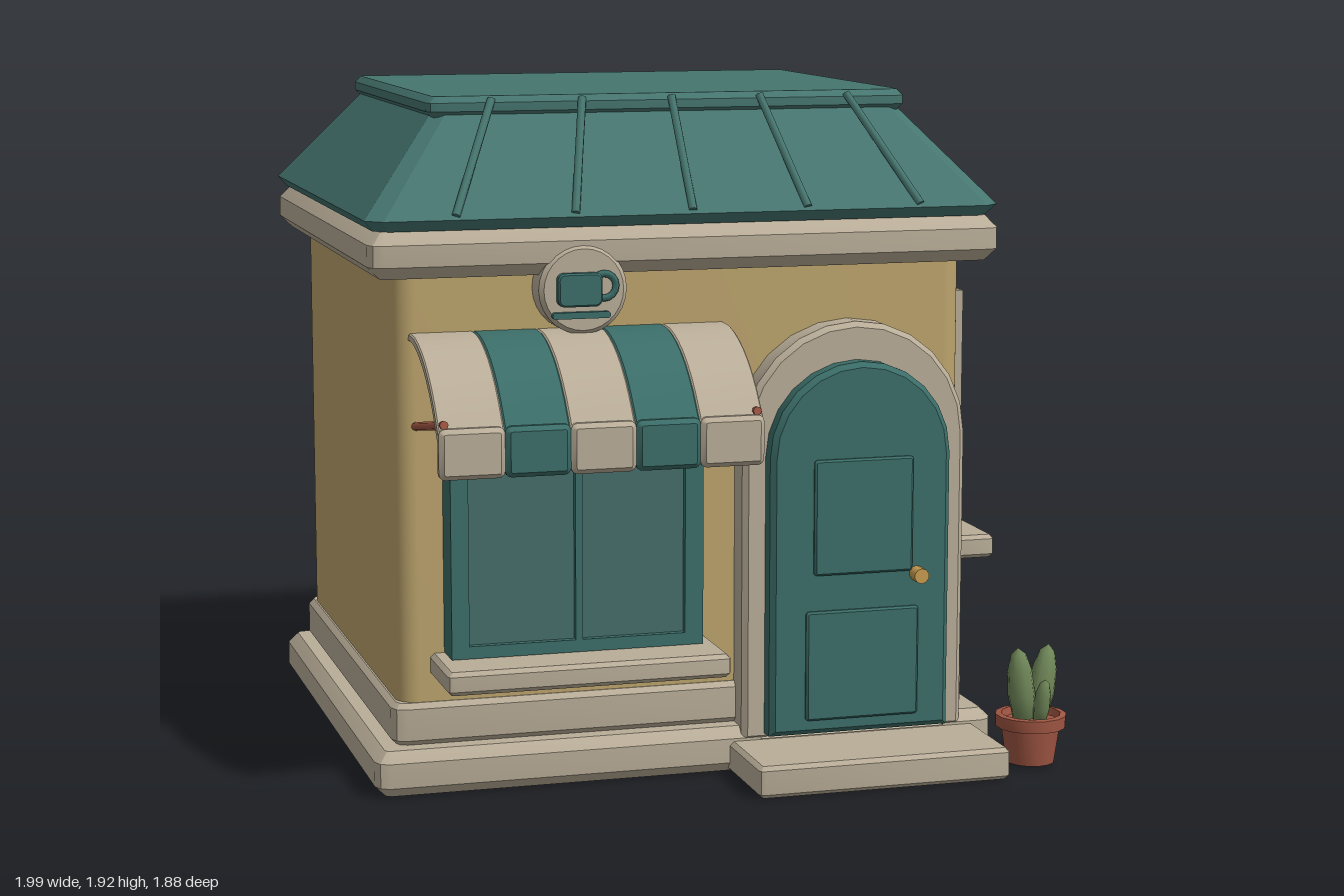
import * as THREE from 'three';
import { toCreasedNormals } from 'three/addons/utils/BufferGeometryUtils.js';

const mat = (name, color) => {
  const m = new THREE.MeshStandardMaterial({ color });
  m.name = name;
  return m;
};

export function createModel() {
  const root = new THREE.Group();
  root.name = 'cafe';
  const wall = mat('ochre plaster', 0xbba36c);
  const trim = mat('pale stone', 0xb9ad98);
  const teal = mat('roof teal', 0x46756f);
  const deep = mat('paint teal', 0x3b6d68);
  const glass = mat('window glass', 0x456d69);
  const clay = mat('terracotta', 0xa05643);
  const green = mat('cactus green', 0x6f8658);
  const gold = mat('brass', 0xc89c50);

  const add = (name, geo, material, parent = root) => {
    const m = new THREE.Mesh(geo, material);
    m.name = name;
    parent.add(m);
    return m;
  };
  // Extrusion filling 0..depth, with its bevel kept inside the outline
  const extrude = (shape, depth, b = 0, seg = 6) => {
    const g = new THREE.ExtrudeGeometry(shape, {
      depth: depth - 2 * b, curveSegments: seg, bevelEnabled: b > 0,
      bevelThickness: b, bevelSize: b, bevelOffset: -b, bevelSegments: 1,
    });
    g.translate(0, 0, b);
    return toCreasedNormals(g, 0.5);
  };
  const rect = (x0, x1, y0, y1, r = 0, Kind = THREE.Shape) => {
    const s = new Kind();
    if (!r) {
      s.moveTo(x0, y0).lineTo(x1, y0).lineTo(x1, y1).lineTo(x0, y1).closePath();
      return s;
    }
    const h = Math.PI / 2;
    s.absarc(x1 - r, y0 + r, r, -h, 0);
    s.absarc(x1 - r, y1 - r, r, 0, h);
    s.absarc(x0 + r, y1 - r, r, h, 2 * h);
    s.absarc(x0 + r, y0 + r, r, 2 * h, 3 * h);
    return s;
  };
  // Horizontal slab, extruded upwards
  const slab = (name, m, [x0, x1], [y0, y1], [z0, z1], b, r = 0, seg = 1, parent = root) => {
    const g = extrude(rect(x0, x1, -z1, -z0, r), y1 - y0, b, seg);
    g.rotateX(-Math.PI / 2).translate(0, y0, 0);
    return add(name, g, m, parent);
  };
  // Upright panel, extruded forwards
  const panel = (name, m, shape, z0, z1, b = 0, parent = root, seg = 6) =>
    add(name, extrude(shape, z1 - z0, b, seg).translate(0, 0, z0), m, parent);
  const stick = (name, m, a, b, r) => {
    const p = new THREE.Vector3(...a), q = new THREE.Vector3(...b);
    const s = add(name, new THREE.CylinderGeometry(r, r, p.distanceTo(q), 8), m);
    s.position.copy(p).lerp(q, 0.5);
    s.quaternion.setFromUnitVectors(new THREE.Vector3(0, 1, 0), q.sub(p).normalize());
    return s;
  };

  // Plinth, walls and cornice
  slab('base', trim, [-0.995, 0.83], [0, 0.13], [-0.93, 0.63], 0.03, 0.04);
  slab('plinth', trim, [-0.935, 0.765], [0.13, 0.25], [-0.88, 0.565], 0.015, 0.04);
  slab('walls', wall, [-0.915, 0.745], [0.24, 1.46], [-0.86, 0.547], 0, 0.06, 5);
  slab('cornice', trim, [-0.995, 0.83], [1.445, 1.575], [-0.935, 0.63], 0.035, 0.04);

  // Hipped roof lofted through chamfered rectangles
  const ring = (y, hx, hz, c) =>
    [[hx, hz - c], [hx - c, hz], [-hx + c, hz], [-hx, hz - c],
      [-hx, -hz + c], [-hx + c, -hz], [hx - c, -hz], [hx, -hz + c]]
      .map(([x, z]) => [x - 0.085, y, z - 0.155]);
  const rings = [ring(1.575, 0.89, 0.76, 0.04), ring(1.605, 0.915, 0.785, 0.045), ring(1.875, 0.685, 0.555, 0.035)];
  const pos = [];
  for (let k = 0; k < 2; k++) {
    for (let i = 0; i < 8; i++) {
      const j = (i + 1) % 8, [lo, up] = [rings[k], rings[k + 1]];
      pos.push(...lo[i], ...up[i], ...lo[j], ...lo[j], ...up[i], ...up[j]);
    }
  }
  for (let i = 1; i < 7; i++) pos.push(...rings[0][0], ...rings[0][i], ...rings[0][i + 1]);
  const roofGeo = new THREE.BufferGeometry();
  roofGeo.setAttribute('position', new THREE.Float32BufferAttribute(pos, 3));
  roofGeo.computeVertexNormals();
  add('roof', roofGeo, teal);
  slab('roofCap', teal, [-0.785, 0.617], [1.865, 1.925], [-0.727, 0.41], 0.018, 0.03);
  for (let i = -2; i <= 2; i++) {
    stick('roofSeam', teal, [-0.085 + i * 0.335, 1.615, 0.622], [-0.085 + i * 0.26, 1.915, 0.405], 0.012);
  }

  // Arched door with stone surround, step and knob
  const arch = (hw, y0, spring, Kind = THREE.Shape) => {
    const s = new Kind(), cx = 0.393;
    s.moveTo(cx - hw, y0).lineTo(cx + hw, y0).lineTo(cx + hw, spring);
    s.absarc(cx, spring, hw, 0, Math.PI);
    s.closePath();
    return s;
  };
  const surround = arch(0.332, 0.09, 0.955);
  surround.holes.push(arch(0.262, 0.11, 0.912, THREE.Path));
  panel('doorSurround', trim, surround, 0.53, 0.635, 0.015);
  panel('door', deep, arch(0.268, 0.112, 0.912), 0.55, 0.693, 0.015);
  panel('doorUpperPanel', deep, rect(0.25, 0.545, 0.575, 0.907, 0.01), 0.68, 0.705, 0.006);
  panel('doorLowerPanel', deep, rect(0.228, 0.565, 0.155, 0.472, 0.01), 0.68, 0.705, 0.006);
  const knob = add('doorKnob', new THREE.CylinderGeometry(0.022, 0.022, 0.05, 10), gold);
  knob.rotation.x = Math.PI / 2;
  knob.position.set(0.56, 0.565, 0.714);
  slab('doorStep', trim, [0.025, 0.77], [0, 0.092], [0.5, 0.913], 0.012, 0.015);

  // Shop window
  const shop = rect(-0.785, -0.062, 0.39, 1.22);
  for (const [a, b] of [[-0.735, -0.432], [-0.412, -0.115]]) {
    shop.holes.push(rect(a, b, 0.425, 1.18, 0, THREE.Path));
  }
  panel('shopWindowFrame', deep, shop, 0.53, 0.65);
  panel('shopWindowGlass', glass, rect(-0.76, -0.09, 0.41, 1.2), 0.61, 0.63);
  slab('shopWindowSill', trim, [-0.825, -0.02], [0.322, 0.388], [0.53, 0.79], 0.012, 0.015);

  // Striped awning: curved canopy strips with a hanging valance
  const outer = new THREE.SplineCurve([[0.55, 1.29], [0.64, 1.283], [0.75, 1.24], [0.85, 1.165], [0.935, 1.065]]
    .map(([z, y]) => new THREE.Vector2(z, y))).getPoints(10);
  const inner = outer.map((p) => new THREE.Vector2(p.x - 0.018, p.y - 0.022)).reverse();
  const canopy = new THREE.Shape([...outer, ...inner]);
  const w = 0.18;
  for (let i = 0; i < 5; i++) {
    const x0 = -0.875 + i * w, m = i % 2 ? deep : trim;
    const g = extrude(canopy, w, 0.004).rotateY(-Math.PI / 2).translate(x0 + w, 0, 0);
    add('awningStripe', g, m);
    panel('awningValance', m, rect(x0, x0 + w, 0.948, 1.085, 0.018), 0.905, 0.945, 0.013, root, 2);
  }
  for (const x of [-0.858, 0.008]) {
    stick('awningArm', clay, [x, 1.095, 0.925], [x, 1.03, 0.54], 0.012);
  }

  // Round hanging sign with a cup
  const round = (r) => new THREE.Shape().absarc(0, 0, r, 0, Math.PI * 2);
  const sign = new THREE.Group();
  sign.name = 'sign';
  sign.position.set(-0.402, 1.405, 0);
  root.add(sign);
  panel('signDisc', trim, round(0.125), 0.53, 0.638, 0.012, sign, 14);
  panel('cup', deep, rect(-0.078, 0.048, -0.045, 0.048, 0.02), 0.63, 0.662, 0.005, sign, 3);
  panel('saucer', deep, rect(-0.092, 0.072, -0.078, -0.06, 0.008), 0.63, 0.655, 0, sign, 2);
  const handle = add('cupHandle', new THREE.TorusGeometry(0.034, 0.01, 6, 16), deep, sign);
  handle.position.set(0.055, 0.01, 0.645);

  // Side window, built facing +z then turned to the left wall
  const side = new THREE.Group();
  side.name = 'sideWindow';
  side.rotation.y = Math.PI / 2;
  side.position.z = -0.153;
  root.add(side);
  const frame = rect(-0.363, 0.363, 0.56, 1.31);
  for (const [a, b] of [[-0.31, -0.016], [0.016, 0.31]]) {
    frame.holes.push(rect(a, b, 0.6, 0.96, 0, THREE.Path), rect(a, b, 0.99, 1.255, 0, THREE.Path));
  }
  panel('sideWindowFrame', trim, frame, 0.798, 0.88, 0, side);
  panel('sideWindowGlass', glass, rect(-0.335, 0.335, 0.575, 1.28), 0.787, 0.807, 0, side);
  slab('sideWindowSill', trim, [-0.408, 0.408], [0.497, 0.567], [0.798, 0.977], 0.012, 0.015, 1, side);

  // Potted cactus
  const plant = new THREE.Group();
  plant.name = 'pottedCactus';
  plant.position.set(0.89, 0, 0.765);
  root.add(plant);
  const pot = [[0, 0.008], [0.07, 0.008], [0.085, 0.11], [0.101, 0.112], [0.103, 0.148], [0.085, 0.15], [0.08, 0.128], [0, 0.128]];
  const lathe = (pts, n) => new THREE.LatheGeometry(pts.map(([r, y]) => new THREE.Vector2(r, y)), n);
  add('pot', toCreasedNormals(lathe(pot, 14), 0.6), clay, plant);
  const lobe = [[0, 0], [0.03, 0.01], [0.04, 0.08], [0.036, 0.15], [0.022, 0.2], [0, 0.22]];
  for (const [x, z, rx, rz, s] of [[-0.022, 0, 0, 0.1, 1], [0.025, -0.015, -0.12, -0.2, 1], [0.012, 0.035, 0.16, -0.05, 0.62]]) {
    const c = add('cactusLobe', lathe(lobe, 9), green, plant);
    c.position.set(x, 0.125, z);
    c.rotation.set(rx, 0, rz);
    c.scale.setScalar(s);
  }
  return root;
}
